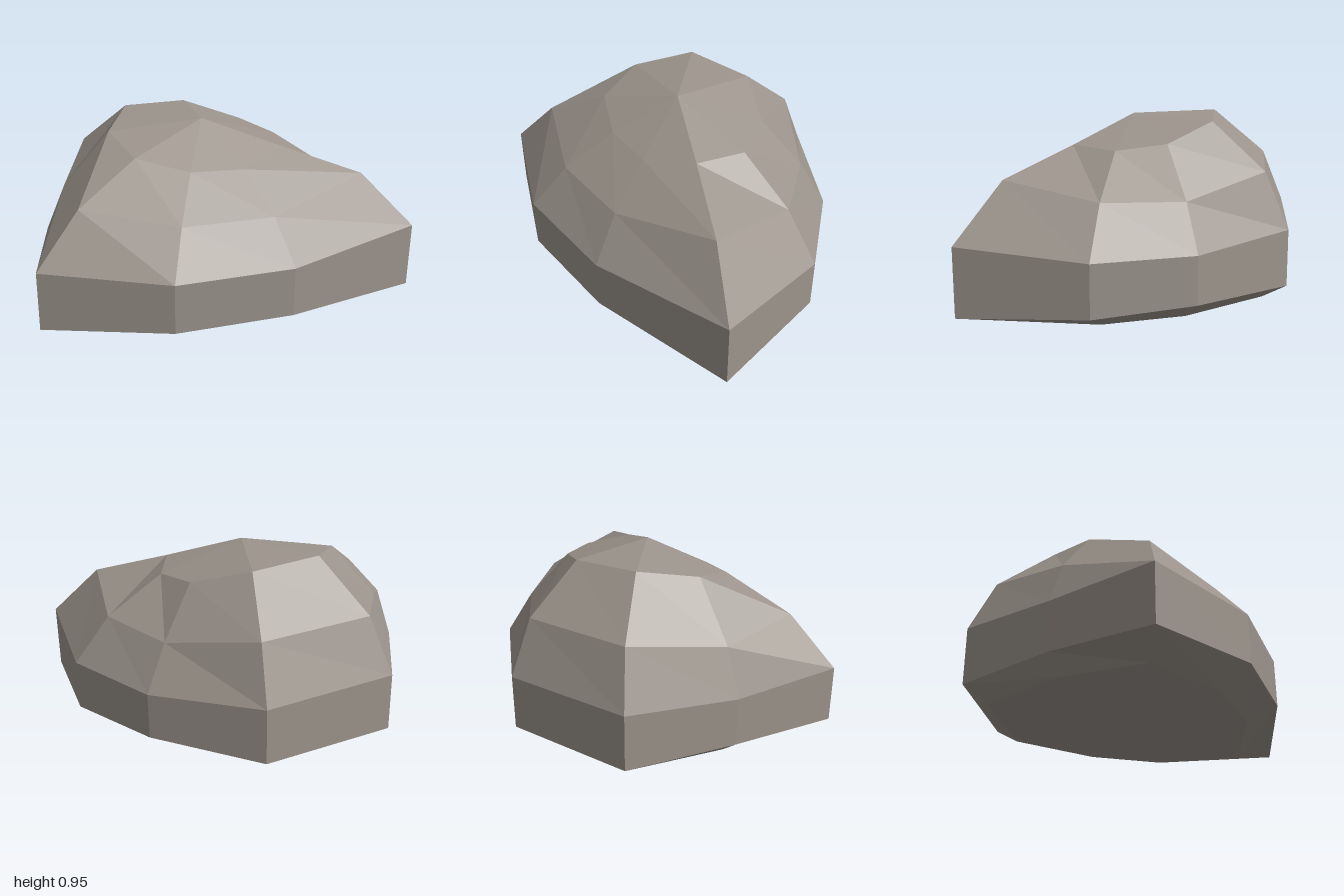
import * as THREE from 'three';

// Plan outline of the widest part, counter-clockwise from the front left corner: [x, z]
const rim = [[1, 0.71], [0.99, 0.04], [0.71, -0.42], [0.22, -0.82], [-0.5, -0.74],
  [-0.78, -0.2], [-1, 0.36], [-0.42, 0.72], [0.2, 0.81]];
// Outline shared by the foot and the shoulder
const inner = [[0.76, 0.54], [0.8, 0.04], [0.59, -0.34], [0.2, -0.69], [-0.41, -0.63],
  [-0.68, -0.17], [-0.75, 0.29], [-0.31, 0.56], [0.17, 0.64]];
// Outline around the crown
const crown = [[0.4, 0.29], [0.5, 0.04], [0.41, -0.21], [0.14, -0.4], [-0.24, -0.36],
  [-0.44, -0.1], [-0.4, 0.18], [-0.16, 0.34], [0.12, 0.39]];

const ring = (plan, heights) => plan.map(([x, z], i) => [x, heights[i], z]);

export function createModel() {
  const stone = new THREE.MeshStandardMaterial({ color: 0x9c948c, flatShading: true });
  stone.name = 'stone';

  // Cross-sections from the ground up
  const rings = [
    ring(inner, new Array(9).fill(0)),
    ring(rim, [0.05, 0.09, 0.1, 0.075, 0.085, 0.09, 0.07, 0.095, 0.095]),
    ring(rim, [0.405, 0.36, 0.35, 0.38, 0.4, 0.36, 0.385, 0.36, 0.36]),
    ring(inner, [0.69, 0.605, 0.585, 0.68, 0.7, 0.61, 0.65, 0.58, 0.58]),
    ring(crown, [0.82, 0.81, 0.84, 0.93, 0.955, 0.9, 0.83, 0.77, 0.76]),
  ];
  const apex = [0.04, 0.955, 0.05];
  const base = [0, 0, 0];

  const points = [];
  const tri = (a, b, c) => points.push(...a, ...b, ...c);
  const top = rings[rings.length - 1];
  for (let i = 0; i < 9; i++) {
    const j = (i + 1) % 9;
    tri(base, rings[0][j], rings[0][i]);
    // Faceted sides
    for (let k = 0; k < rings.length - 1; k++) {
      const low = rings[k], high = rings[k + 1];
      tri(low[i], low[j], high[i]);
      tri(high[i], low[j], high[j]);
    }
    tri(top[i], top[j], apex);
  }

  const geometry = new THREE.BufferGeometry();
  geometry.setAttribute('position', new THREE.Float32BufferAttribute(points, 3));
  geometry.computeVertexNormals();

  const boulder = new THREE.Mesh(geometry, stone);
  boulder.name = 'boulder';
  const group = new THREE.Group();
  group.name = 'rock';
  group.add(boulder);
  return group;
}
